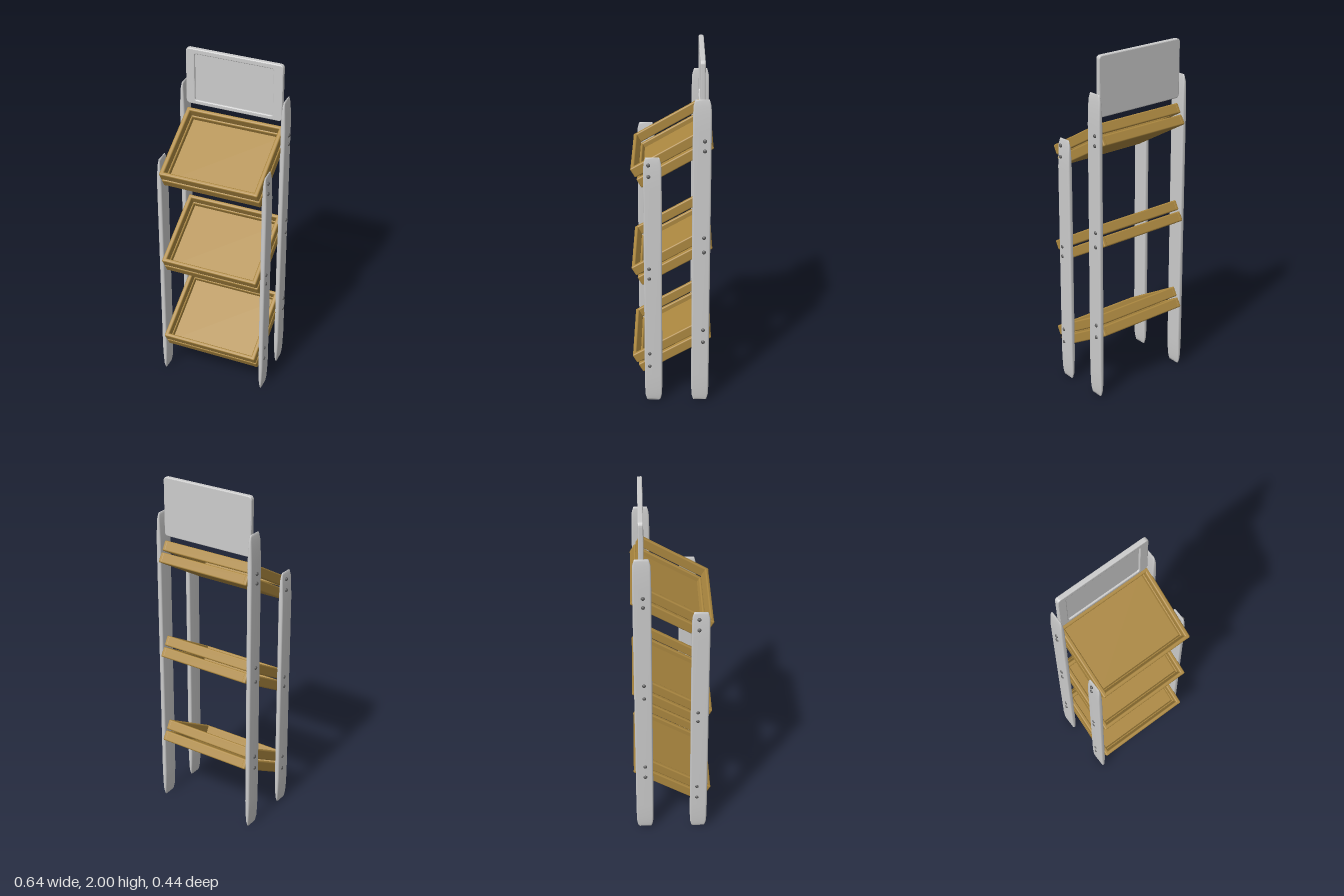
import * as THREE from 'three';
import { RoundedBoxGeometry } from 'three/addons/geometries/RoundedBoxGeometry.js';

const grey = new THREE.MeshStandardMaterial({ color: 0xcccccc });
const wood = new THREE.MeshStandardMaterial({ color: 0xac8840 });
const dark = new THREE.MeshStandardMaterial({ color: 0x606060 });

function add(parent, name, geometry, material, x = 0, y = 0, z = 0) {
  const mesh = new THREE.Mesh(geometry, material);
  mesh.name = name;
  mesh.position.set(x, y, z);
  parent.add(mesh);
  return mesh;
}

function roundedRect(target, x0, y0, x1, y1, r) {
  target.moveTo(x0 + r, y0);
  target.lineTo(x1 - r, y0);
  target.quadraticCurveTo(x1, y0, x1, y0 + r);
  target.lineTo(x1, y1 - r);
  target.quadraticCurveTo(x1, y1, x1 - r, y1);
  target.lineTo(x0 + r, y1);
  target.quadraticCurveTo(x0, y1, x0, y1 - r);
  target.lineTo(x0, y0 + r);
  target.quadraticCurveTo(x0, y0, x0 + r, y0);
  return target;
}

// Slim upright: rounded cross-sections thinning to a blade at both ends
function postGeometry(height) {
  const taper = [[0, 0.003, 0.037], [0.012, 0.005, 0.041], [0.035, 0.008, 0.047],
    [0.08, 0.0108, 0.049], [0.17, 0.014, 0.05]]; // distance from tip, half x, half z
  const rings = [...taper, ...taper.map(([d, a, b]) => [height - d, a, b]).reverse()];
  const section = [];
  for (const [sx, sz, start] of [[1, 1, 0], [-1, 1, 1], [-1, -1, 2], [1, -1, 3]]) {
    for (let i = 0; i <= 3; i++) {
      const a = (start + i / 3) * Math.PI / 2;
      section.push([sx * 0.35 + 0.65 * Math.cos(a), sz * 0.8 + 0.2 * Math.sin(a)]);
    }
  }
  const n = section.length, pos = [], index = [];
  for (const [y, hx, hz] of rings) for (const [x, z] of section) pos.push(x * hx, y, z * hz);
  for (let r = 0; r < rings.length - 1; r++) {
    for (let i = 0; i < n; i++) {
      const a = r * n + i, b = r * n + (i + 1) % n;
      index.push(a, a + n, b, b, a + n, b + n);
    }
  }
  const last = (rings.length - 1) * n;
  for (let i = 1; i < n - 1; i++) {
    index.push(0, i, i + 1, last, last + i + 1, last + i);
  }
  const g = new THREE.BufferGeometry();
  g.setAttribute('position', new THREE.Float32BufferAttribute(pos, 3));
  g.setIndex(index);
  g.computeVertexNormals();
  return g;
}

// Tilted tray: a floor with two slats, one above the other, on each side
function makeTray() {
  const tray = new THREE.Group();
  tray.name = 'tray';
  add(tray, 'trayFloor', new RoundedBoxGeometry(0.55, 0.028, 0.43, 3, 0.011), wood, 0, -0.048, 0);
  const long = new RoundedBoxGeometry(0.556, 0.058, 0.022, 3, 0.008);
  const side = new RoundedBoxGeometry(0.025, 0.058, 0.448, 3, 0.008);
  for (const v of [-0.0335, 0.0335]) {
    for (const s of [-1, 1]) {
      add(tray, s > 0 ? 'frontSlat' : 'backSlat', long, wood, 0, v, s * 0.212);
      add(tray, s > 0 ? 'leftSlat' : 'rightSlat', side, wood, s * 0.2755, v, 0);
    }
  }
  tray.rotation.x = Math.PI / 6;
  return tray;
}

// Board at the top with a shallow recess in its face
function makeSign() {
  const sign = new THREE.Group();
  sign.name = 'signBoard';
  const bevel = 0.006;
  const options = { bevelEnabled: true, bevelSize: bevel, bevelThickness: bevel, bevelSegments: 3, curveSegments: 5 };
  const outline = () => roundedRect(new THREE.Shape(), -0.279, 1.671, 0.272, 1.994, 0.016);
  const frame = outline();
  frame.holes.push(roundedRect(new THREE.Path(), -0.239, 1.684, 0.229, 1.976, 0.02));
  add(sign, 'signFrame', new THREE.ExtrudeGeometry(frame, { ...options, depth: 0.016 }), grey, 0, 0, -0.169);
  add(sign, 'signPanel', new THREE.ExtrudeGeometry(outline(), { ...options, depth: 0.006 }), grey, 0, 0, -0.169);
  return sign;
}

export function createModel() {
  const model = new THREE.Group();
  model.name = 'displayStand';

  // Uprights: the two front ones are staggered in depth
  const tall = postGeometry(1.8), short = postGeometry(1.48);
  for (const s of [-1, 1]) {
    add(model, 'backPost', tall, grey, s * 0.297, 0, -0.16);
    add(model, 'frontPost', short, grey, s * 0.299, 0, s > 0 ? 0.104 : 0.152);
  }

  for (const y of [0.338, 0.888, 1.4675]) {
    const tray = makeTray();
    tray.position.y = y;
    model.add(tray);
  }

  model.add(makeSign());

  // Bolt heads on the outside of each upright
  const bolt = new THREE.SphereGeometry(0.011, 12, 8);
  const backBolts = [0.38, 0.455, 0.935, 1.02, 1.52, 1.575];
  const frontBolts = [0.225, 0.305, 0.775, 0.835, 1.375, 1.44];
  for (const s of [-1, 1]) {
    for (const y of backBolts) {
      add(model, 'bolt', bolt, dark, s * 0.311, y, s > 0 ? -0.175 : -0.155).scale.x = 0.75;
    }
    for (const y of frontBolts) {
      add(model, 'bolt', bolt, dark, s * 0.311, y, s > 0 ? 0.125 : 0.142).scale.x = 0.75;
    }
  }
  return model;
}
